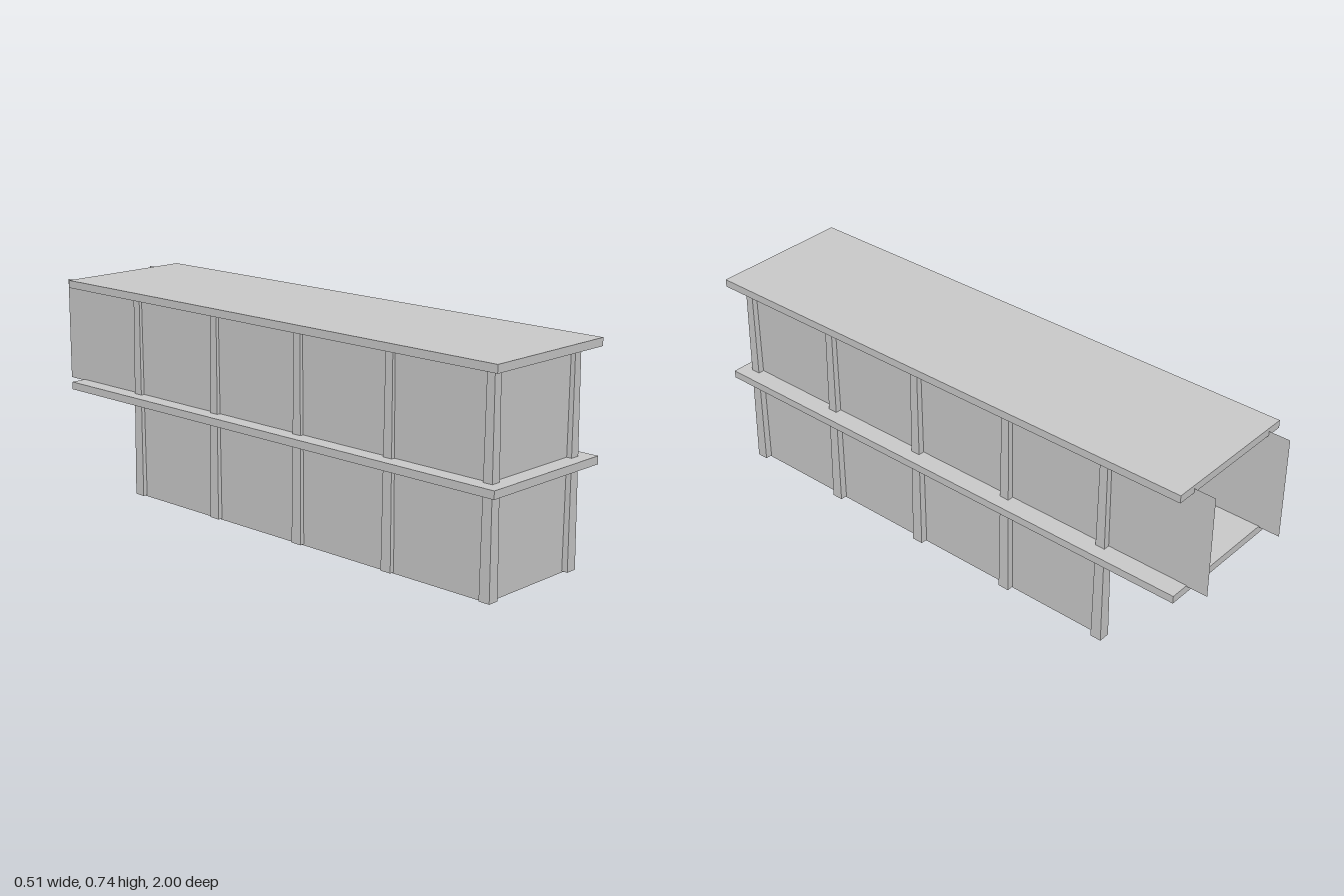
import * as THREE from 'three';

export function createModel() {
  const model = new THREE.Group();
  const grey = new THREE.MeshStandardMaterial({ color: 0xcccccc, side: THREE.DoubleSide, flatShading: true });
  grey.name = 'plain grey';

  const add = (name, geometry, x, y, z) => {
    const mesh = new THREE.Mesh(geometry, grey);
    mesh.name = name;
    mesh.position.set(x, y, z);
    model.add(mesh);
    return mesh;
  };

  // Floor and roof slabs, overhanging the walls
  for (const [name, y] of [['floorSlab', 0.36], ['roofSlab', 0.731]]) {
    add(name, new THREE.BoxGeometry(0.512, 0.027, 1.925), 0, y, 0.0375);
  }

  // Paper-thin walls; the back is open and the upper storey runs further back
  const left = 0.188, right = -0.199, front = 0.94;
  const storeys = [['lower', 0.002, 0.36, -0.612], ['upper', 0.37, 0.733, -1]];
  for (const [storey, bottom, top, back] of storeys) {
    const h = top - bottom, y = (top + bottom) / 2;
    for (const [side, x] of [['Left', left], ['Right', right]]) {
      const wall = add(storey + side + 'Wall', new THREE.PlaneGeometry(front - back, h), x, y, (front + back) / 2);
      wall.rotation.y = x > 0 ? Math.PI / 2 : -Math.PI / 2;
    }
    add(storey + 'FrontWall', new THREE.PlaneGeometry(left - right, h), (left + right) / 2, y, front);
  }

  // Tapered square posts running through both storeys
  const bottom = 0.006, top = 0.72;
  const makePost = () => {
    const geometry = new THREE.BoxGeometry(1, top - bottom, 1);
    const p = geometry.attributes.position;
    for (let i = 0; i < p.count; i++) {
      const width = p.getY(i) < 0 ? 0.04 : 0.029;
      p.setX(i, p.getX(i) * width);
      p.setZ(i, p.getZ(i) * width);
    }
    geometry.computeVertexNormals();
    return geometry;
  };
  for (let i = 0; i < 5; i++) {
    const z = 0.941 - i * 0.3885;
    add('leftPost', makePost(), 0.193, (top + bottom) / 2, z);
    add('rightPost', makePost(), -0.195, (top + bottom) / 2, z);
  }

  return model;
}
